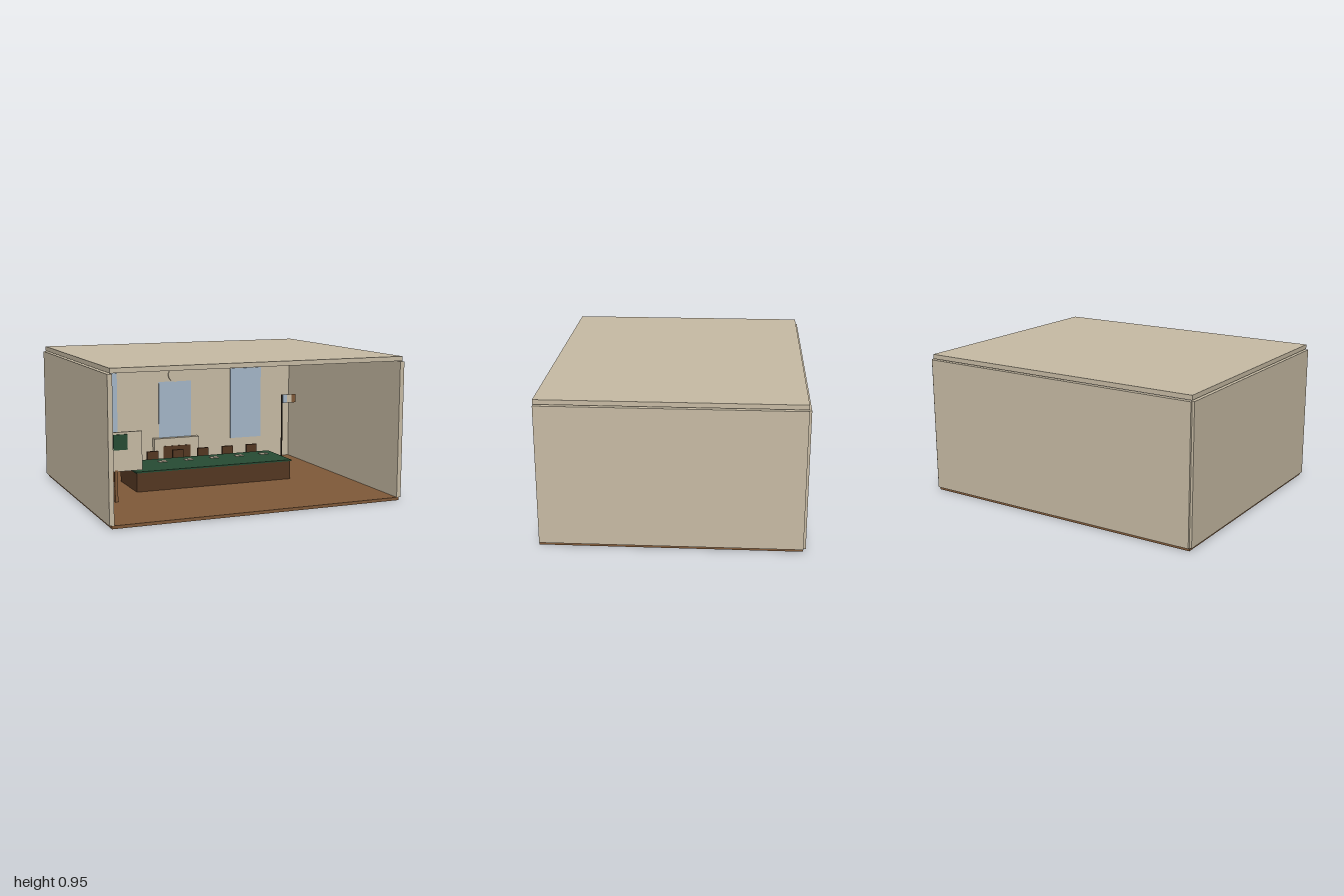
import * as THREE from 'three';

const mat = (name, color) => {
  const m = new THREE.MeshStandardMaterial({ color });
  m.name = name;
  return m;
};

export function createModel() {
  const plaster = mat('plaster', 0xc8bca5);
  const glass = mat('window blue', 0xa5b8ca);
  const wood = mat('floor wood', 0x805a39);
  const darkWood = mat('dark wood', 0x553822);
  const green = mat('green cloth', 0x274c34);
  const iron = mat('dark pole', 0x2c2219);

  const room = new THREE.Group();
  room.name = 'meetingRoom';

  // Box given by its lower and upper limits on each axis
  const box = (name, material, [x0, x1], [y0, y1], [z0, z1], parent = room) => {
    const mesh = new THREE.Mesh(new THREE.BoxGeometry(x1 - x0, y1 - y0, z1 - z0), material);
    mesh.position.set((x0 + x1) / 2, (y0 + y1) / 2, (z0 + z1) / 2);
    mesh.name = name;
    parent.add(mesh);
    return mesh;
  };
  const group = (name) => {
    const g = new THREE.Group();
    g.name = name;
    room.add(g);
    return g;
  };

  // Shell, open at the front
  const span = [-0.985, 0.985], depth = [-0.81, 0.825];
  box('floor', wood, span, [0, 0.02], depth);
  box('ceiling', plaster, span, [0.925, 0.955], depth);
  box('backWall', plaster, span, [0.02, 0.92], [-0.825, -0.795]);
  box('leftWall', plaster, [0.97, 1], [0.02, 0.92], depth);
  box('rightWall', plaster, [-1, -0.97], [0.02, 0.92], depth);

  // Windows on the back wall
  for (const s of [-1, 1])
    box('window', glass, [s * 0.59 - 0.13, s * 0.59 + 0.13], [0.19, 0.74], [-0.796, -0.787]);

  // Fireplace with a mirror, an upper panel and a round medallion
  const hearth = group('fireplace');
  box('surround', plaster, [-0.18, 0.18], [0.02, 0.23], [-0.795, -0.75], hearth);
  box('opening', darkWood, [-0.11, 0.11], [0.02, 0.17], [-0.751, -0.745], hearth);
  box('mirror', glass, [-0.13, 0.13], [0.23, 0.66], [-0.796, -0.787], hearth);
  box('upperPanel', plaster, [-0.13, 0.13], [0.66, 0.84], [-0.796, -0.787], hearth);
  const disc = new THREE.Mesh(new THREE.CylinderGeometry(0.055, 0.055, 0.012, 32), plaster);
  disc.rotation.x = Math.PI / 2;
  disc.position.set(0, 0.712, -0.782);
  disc.name = 'medallion';
  hearth.add(disc);

  // Conference table
  const table = group('table');
  box('tableBody', darkWood, [-0.575, 0.575], [0.02, 0.15], [-0.34, 0.035], table);
  box('tableCloth', green, [-0.582, 0.582], [0.15, 0.16], [-0.347, 0.042], table);

  // A chair and a sheet of paper for each seat
  for (let i = 0; i < 6; i++) {
    const x = -0.4925 + i * 0.197;
    const chair = group('chair');
    box('seat', darkWood, [x - 0.042, x + 0.042], [0.085, 0.1], [-0.45, -0.365], chair);
    box('chairBack', darkWood, [x - 0.042, x + 0.042], [0.085, 0.195], [-0.47, -0.45], chair);
    for (const lx of [-0.036, 0.036])
      for (const z of [-0.459, -0.373])
        box('chairLeg', darkWood, [x + lx - 0.006, x + lx + 0.006], [0.02, 0.085], [z - 0.006, z + 0.006], chair);
    box('paper', plaster, [x - 0.03, x + 0.03], [0.16, 0.164], [-0.265, -0.215], table);
  }

  // Notice board on a post
  const board = group('noticeBoard');
  box('boardPost', wood, [-0.795, -0.775], [0.02, 0.23], [0.24, 0.26], board);
  box('boardPanel', plaster, [-0.972, -0.608], [0.22, 0.478], [0.243, 0.258], board);
  box('brownNotice', wood, [-0.925, -0.813], [0.33, 0.415], [0.257, 0.263], board);
  box('greenNotice', green, [-0.803, -0.708], [0.362, 0.463], [0.257, 0.265], board);

  // Striped flag on a pole
  const flag = group('flag');
  const pole = new THREE.Mesh(new THREE.CylinderGeometry(0.006, 0.006, 0.52, 12), iron);
  pole.position.set(0.816, 0.28, -0.6);
  pole.name = 'flagPole';
  flag.add(pole);
  [glass, plaster, wood].forEach((m, i) =>
    box('flagStripe', m, [0.822 + i * 0.037, 0.859 + i * 0.037], [0.475, 0.54], [-0.604, -0.596], flag));

  return room;
}
